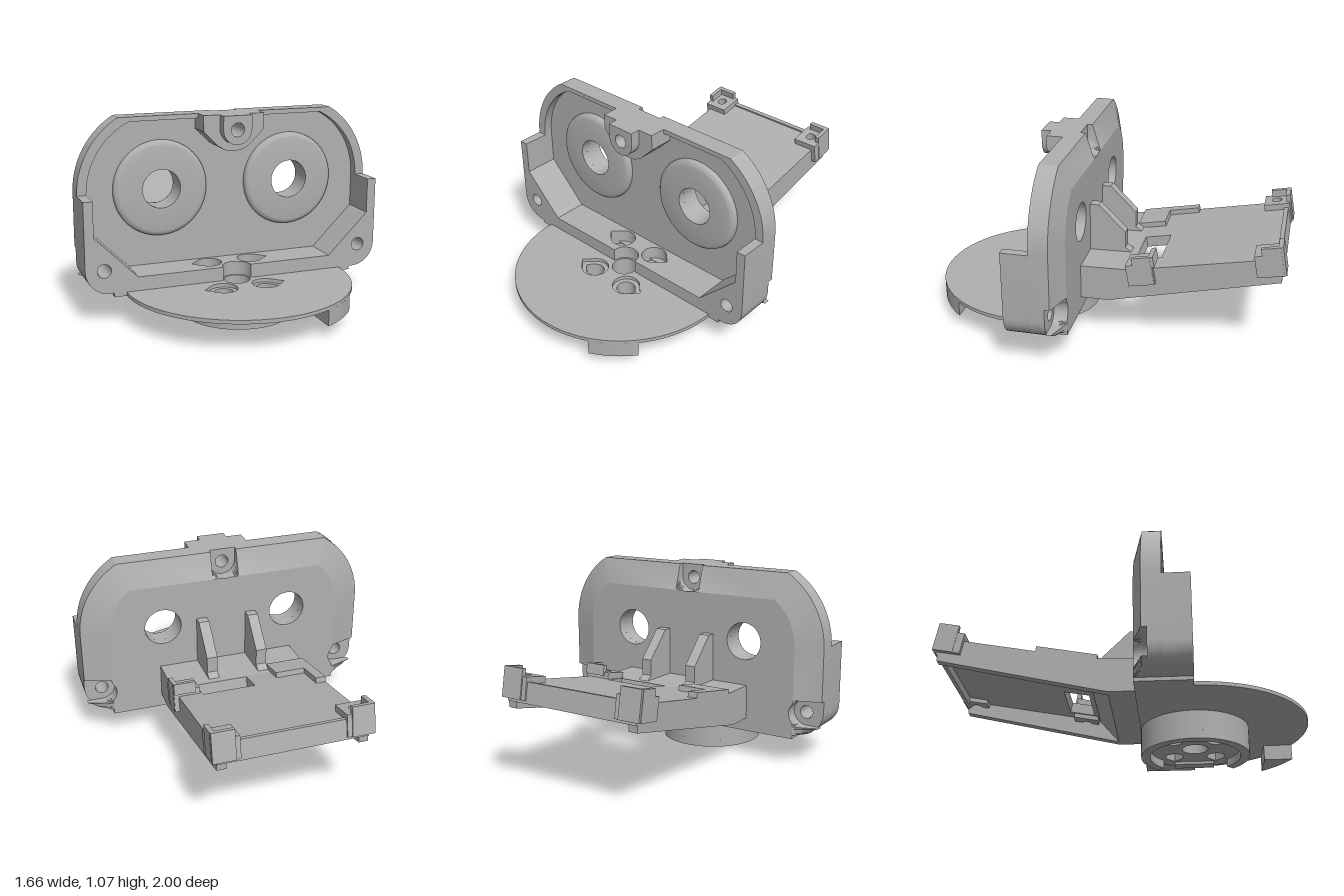
import * as THREE from 'three';
import { toCreasedNormals } from 'three/addons/utils/BufferGeometryUtils.js';

const grey = new THREE.MeshStandardMaterial({ color: 0xb0b0b0, side: THREE.DoubleSide });
grey.name = 'grey plastic';
const V = (x, y) => new THREE.Vector2(x, y);
const EYE = { x: 0.37, y: 0.67 }, SCREW = { x: 0.73, y: 0.3 }, TOP_SCREW_Y = 0.99, AXIS_Z = 0.385;

function add(parent, name, geo) {
  const mesh = new THREE.Mesh(toCreasedNormals(geo, 0.5), grey);
  mesh.name = name;
  parent.add(mesh);
  return mesh;
}
function extrude(shape, depth) {
  return new THREE.ExtrudeGeometry(shape, { depth, bevelEnabled: false, curveSegments: 24 });
}
function shapeOf(points, holes = []) {
  const s = new THREE.Shape(points.map(p => Array.isArray(p) ? V(...p) : p));
  s.holes.push(...holes);
  return s;
}
const circle = (x, y, r) => new THREE.Path().absarc(x, y, r, 0, Math.PI * 2, false);
// Extrusion along z, from z0 to z1
const layer = (shape, z0, z1) => extrude(shape, z1 - z0).translate(0, 0, z0);
// Plan shape (x, -z) raised from y0 to y1
const plan = (shape, y0, y1) => extrude(shape, y1 - y0).rotateX(-Math.PI / 2).translate(0, y0, 0);
// Side profile (-z, y) running from x0 to x1
const profile = (pts, x0, x1) => extrude(shapeOf(pts), x1 - x0).rotateY(Math.PI / 2).translate(x0, 0, 0);

function arc(cx, cy, r, a0, a1, n) {
  return Array.from({ length: n + 1 }, (_, i) => {
    const a = a0 + (a1 - a0) * i / n;
    return V(cx + r * Math.cos(a), cy + r * Math.sin(a));
  });
}
// Shoulder curve around an eye, cut off by the flat top
const shoulder = (r, top) => arc(EYE.x, EYE.y, r, 0, Math.asin((top - EYE.y) / r), 14);
const corner = () => arc(0.7, 0.305, 0.13, -Math.PI / 2, 0, 8);
const mirrored = half => [...half, ...half.filter(p => p.x > 1e-6).reverse().map(p => V(-p.x, p.y))];

// Housing outline, optionally with the rear screw pockets cut in
function outline(r, top, pockets) {
  let half = corner();
  if (pockets) half = [...half.filter(p => p.y < 0.225), V(0.82, 0.225),
    ...arc(SCREW.x, SCREW.y, 0.075, -Math.PI / 2, -Math.PI * 1.5, 12), V(0.83, 0.375)];
  half = half.map(p => V(Math.min(p.x, EYE.x + r), p.y));
  half.push(...shoulder(r, top));
  if (pockets) half.push(V(0.075, top),
    ...arc(0, TOP_SCREW_Y, 0.075, 0, -Math.PI / 2, 8).map(p => V(p.x, Math.min(p.y, top))));
  return mirrored(half);
}
// Wall between two outlines of equal length
function loft(a, za, b, zb) {
  const pos = [], idx = [], n = a.length;
  for (let i = 0; i < n; i++) {
    pos.push(a[i].x, a[i].y, za, b[i].x, b[i].y, zb);
    const j = (i + 1) % n;
    idx.push(2 * i, 2 * j, 2 * i + 1, 2 * j, 2 * j + 1, 2 * i + 1);
  }
  const g = new THREE.BufferGeometry();
  g.setAttribute('position', new THREE.Float32BufferAttribute(pos, 3));
  g.setIndex(idx);
  g.computeVertexNormals();
  return g;
}
// Teardrop hole pointing outward along x
function teardrop(side, cx, cy, r) {
  const a0 = side > 0 ? Math.PI / 4 : Math.PI * 1.25;
  const pts = arc(cx, cy, r, a0, a0 + Math.PI * 1.5, 20);
  pts.push(V(cx + side * r * Math.SQRT2, cy));
  return new THREE.Path(pts);
}

function buildHousing() {
  const g = new THREE.Group();
  g.name = 'housing';
  const eyes = () => [-1, 1].map(s => circle(s * EYE.x, EYE.y, 0.105));
  const screws = () => [-1, 1].map(s => circle(s * SCREW.x, SCREW.y, 0.037));
  const topScrew = () => circle(0, TOP_SCREW_Y, 0.037);

  // Chamfered back with pockets
  const wide = outline(0.46, 1.065, true), narrow = outline(0.31, 0.92, true);
  add(g, 'rearChamfer', loft(narrow, 0.09, wide, 0.137));
  add(g, 'rearFace', new THREE.ShapeGeometry(shapeOf(narrow, eyes()), 24).translate(0, 0, 0.09));
  add(g, 'rearPanel', layer(shapeOf(wide, eyes()), 0.137, 0.165));
  add(g, 'innerPanel', layer(shapeOf(outline(0.46, 1.065, false), [...eyes(), ...screws(), topScrew()]), 0.165, 0.19));

  // Rim around the recess, gapped at the bottom for the centre ledge
  const recess = mirrored([V(0.25, 0.176), V(0.25, 0.25), V(0.55, 0.25), V(0.78, 0.48), ...shoulder(0.41, 1.04)]);
  add(g, 'rim', layer(shapeOf(outline(0.46, 1.065, false), [new THREE.Path(recess), ...screws()]), 0.19, 0.24));

  // Deeper lower side walls
  for (const s of [-1, 1]) {
    const pts = [V(0.25, 0.175), ...corner(), V(0.83, 0.67), V(0.78, 0.67), V(0.78, 0.48), V(0.55, 0.25), V(0.25, 0.25)];
    const wall = shapeOf(pts.map(p => V(s * p.x, p.y)), [circle(s * SCREW.x, SCREW.y, 0.037)]);
    add(g, 'lowerWall', layer(wall, 0.24, 0.385));

    // Raised eye ring with rounded edge
    const ring = [[0.105, 0.09], [0.105, 0.225], [0.232, 0.225], [0.246, 0.221], [0.256, 0.212], [0.26, 0.2], [0.26, 0.19]];
    add(g, 'eyeRing', new THREE.LatheGeometry(ring.map(p => V(...p)), 64).rotateX(Math.PI / 2).translate(s * EYE.x, EYE.y, 0));
  }

  // Centre ledge with half-round notch and teardrop holes
  const ledge = [V(-0.25, -0.385), ...arc(0, -AXIS_Z, 0.08, Math.PI, 0, 16), V(0.25, -0.385), V(0.25, -0.19), V(-0.25, -0.19)];
  add(g, 'ledge', plan(shapeOf(ledge, [-1, 1].map(s => teardrop(s, s * 0.12, -0.27, 0.07))), 0.175, 0.25));

  // Top screw boss in two steps
  const boss = mirrored([V(0, 0.868), V(0.05, 0.876), V(0.09, 0.9), V(0.17, 0.98), V(0.17, 1.065)]);
  add(g, 'topBoss', layer(shapeOf(boss, [topScrew()]), 0.165, 0.33));
  const tip = [...arc(0, TOP_SCREW_Y, 0.08, Math.PI, Math.PI * 2, 16), V(0.08, 1.065), V(-0.08, 1.065)];
  add(g, 'topBossTip', layer(shapeOf(tip, [topScrew()]), 0.33, 0.385));
  return g;
}

function buildBase() {
  const g = new THREE.Group();
  g.name = 'base';
  const drops = r => [-1, 1].flatMap(s => [-0.27, -0.5].map(y => teardrop(s, s * 0.12, y, r)));
  const centre = () => circle(0, -AXIS_Z, 0.07);

  // Half disc joined to the strip under the housing
  const disc = [V(0.68, -0.385), V(0.68, -0.09), V(-0.68, -0.09), V(-0.68, -0.385),
    ...arc(0, -AXIS_Z, 0.615, Math.PI, Math.PI * 2, 64)];
  add(g, 'disc', plan(shapeOf(disc, [...drops(0.075), centre()]), 0.155, 0.175));

  // Hub below, with an open rim and a sloped block on one side
  const hub = arc(0, -AXIS_Z, 0.295, 0, Math.PI * 2, 64).slice(0, -1);
  add(g, 'hub', plan(shapeOf(hub, [...drops(0.05), centre()]), 0.045, 0.155));
  const rim = [...arc(0, -AXIS_Z, 0.295, 0.8, 5.48, 48), ...arc(0, -AXIS_Z, 0.245, 5.48, 0.8, 48)];
  add(g, 'hubRim', plan(shapeOf(rim), 0, 0.045));
  const block = [[0.2, 0.03], [0.27, 0.03], [0.32, 0.07], [0.32, 0.155], [0.2, 0.155]];
  add(g, 'hubBlock', layer(shapeOf(block), 0.27, 0.49));

  // Stop tab at the disc edge
  const tab = [V(0.27, -0.78), ...arc(0, -AXIS_Z, 0.615, -1.115, -0.69, 8)];
  add(g, 'stopTab', plan(shapeOf(tab), 0.07, 0.156));
  return g;
}

function buildTray() {
  const g = new THREE.Group();
  g.name = 'rearTray';
  // Root block against the housing, and fins above it
  add(g, 'trayRoot', profile([[-0.09, 0.23], [0.06, 0.23], [0.17, 0.36], [0.17, 0.425], [-0.09, 0.42]], -0.395, 0.395));
  for (const x of [-0.145, 0.145]) {
    add(g, 'fin', profile([[-0.09, 0.41], [-0.09, 0.69], [-0.04, 0.69], [0.11, 0.54], [0.11, 0.45], [0.15, 0.42]], x - 0.03, x + 0.03));
  }
  // Tapering side rails under the tray
  const rail = [[0.06, 0.23], [0.98, 0.44], [0.98, 0.52], [0.17, 0.38], [0.06, 0.38]];
  add(g, 'rail', profile(rail, 0.345, 0.395));
  add(g, 'rail', profile(rail, -0.395, -0.345));

  // Tilted slab; local -z runs outward
  const slope = new THREE.Group();
  slope.name = 'slope';
  slope.position.set(0, 0.425, -0.17);
  slope.rotation.x = 0.187;
  g.add(slope);
  const clips = [[0.345, 0.75, 1], [-0.345, 0.75, -1], [0.345, 0.065, 1]];
  const window = new THREE.Path([V(-0.03, 0.018), V(0.265, 0.018), V(0.265, 0.163), V(-0.03, 0.163)]);
  const slab = shapeOf([[-0.395, -0.1], [0.395, -0.1], [0.395, 0.815], [-0.395, 0.815]],
    [window, ...clips.map(c => circle(c[0], c[1], 0.028))]);
  add(slope, 'slab', plan(slab, -0.06, 0));
  add(slope, 'endLip', plan(shapeOf([[-0.395, 0.79], [0.395, 0.79], [0.395, 0.815], [-0.395, 0.815]]), -0.1, 0.01));

  // Corner clips with a screw hole and a raised hook
  clips.forEach(([x, s, side], i) => {
    const clip = new THREE.Group();
    clip.name = 'clip';
    clip.position.set(x, 0, -s);
    clip.scale.x = side;
    slope.add(clip);
    const pad = [[-0.07, -0.07], [0.075, -0.07], [0.075, 0.075], [-0.07, 0.075]];
    add(clip, 'pad', plan(shapeOf(pad, [circle(0, 0, 0.028)]), -0.085, 0.035));
    add(clip, 'hookSide', new THREE.BoxGeometry(0.025, 0.16, 0.1).translate(0.065, -0.005, -0.02));
    if (i < 2) add(clip, 'hookEnd', new THREE.BoxGeometry(0.12, 0.16, 0.025).translate(0.015, -0.005, -0.07));
    else add(clip, 'hookEnd', new THREE.BoxGeometry(0.12, 0.06, 0.025).translate(0.015, 0.045, -0.075));
  });

  // Raised step and short guide on the right side
  add(slope, 'step', new THREE.BoxGeometry(0.22, 0.06, 0.16).translate(-0.285, 0, -0.03));
  add(slope, 'guide', new THREE.BoxGeometry(0.055, 0.06, 0.18).translate(-0.3675, 0, -0.195));
  return g;
}

export function createModel() {
  const model = new THREE.Group();
  model.name = 'twinSensorMount';
  model.add(buildHousing(), buildBase(), buildTray());
  return model;
}
